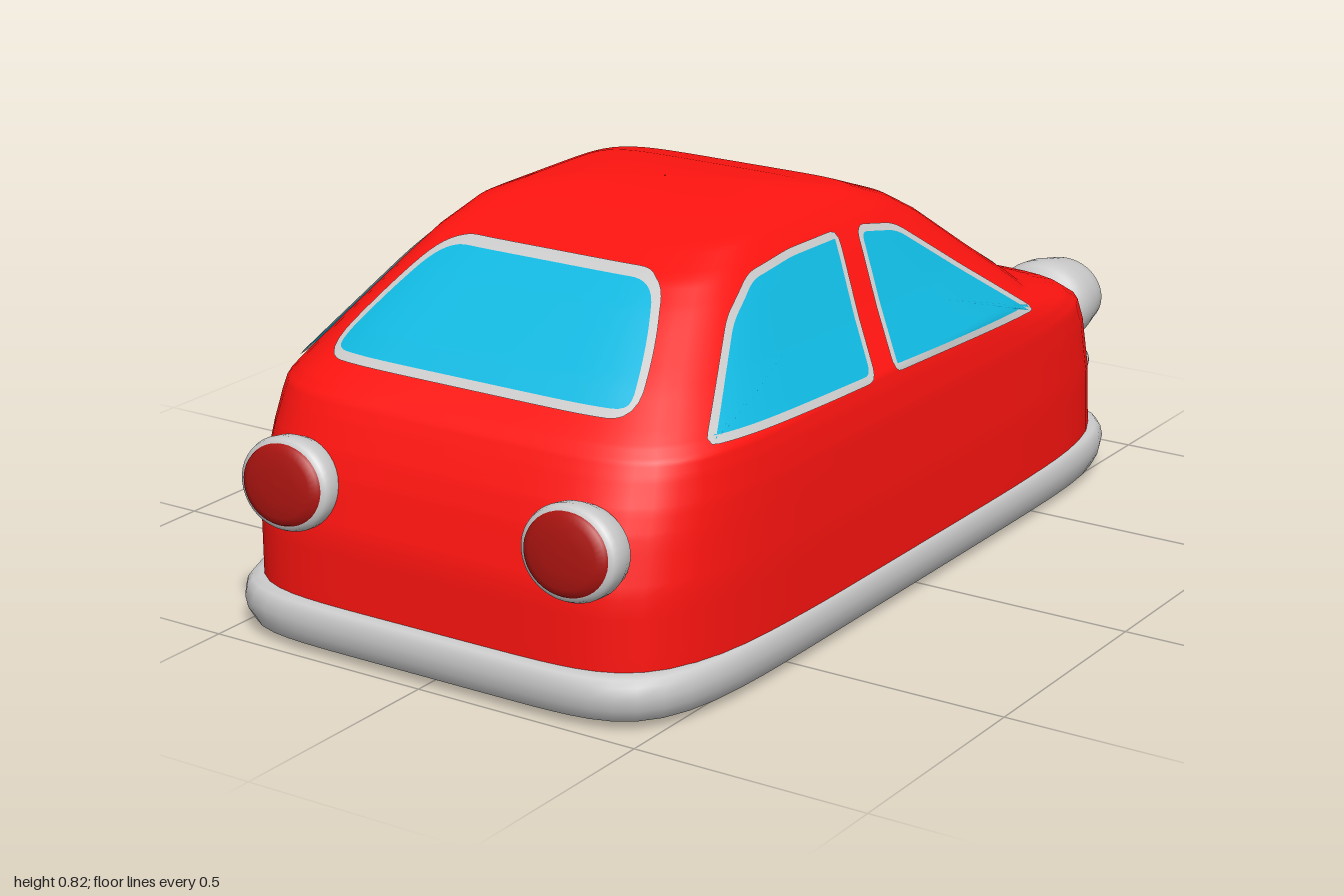
import * as THREE from 'three';

const mat = (color) => new THREE.MeshStandardMaterial({ color, side: THREE.DoubleSide });
const grey = mat(0xcccccc), red = mat(0xff1410), glass = mat(0x10b8e0);
const darkRed = mat(0xaa1410), orange = mat(0xff9900), dark = mat(0x777777);
const N = 6; // squareness of the plan outline

// Body levels: height, half width, nose z, tail z
const LEVELS = [
  [0.04, 0.545, -0.92, 0.965], [0.1, 0.547, -0.92, 0.968], [0.25, 0.548, -0.905, 0.967],
  [0.36, 0.543, -0.88, 0.94], [0.41, 0.54, -0.855, 0.922], [0.44, 0.536, -0.8, 0.908],
  [0.465, 0.532, -0.72, 0.896], [0.495, 0.525, -0.61, 0.88], [0.52, 0.507, -0.58, 0.857],
  [0.6, 0.45, -0.47, 0.76], [0.7, 0.384, -0.335, 0.62], [0.745, 0.353, -0.255, 0.55],
  [0.787, 0.32, -0.14, 0.44], [0.81, 0.263, -0.03, 0.34], [0.82, 0.174, 0.06, 0.25],
  [0.825, 0.001, 0.149, 0.151],
];

function levelAt(y) {
  let i = 0;
  while (i < LEVELS.length - 2 && y > LEVELS[i + 1][0]) i++;
  const t = (y - LEVELS[i][0]) / (LEVELS[i + 1][0] - LEVELS[i][0]);
  return LEVELS[i].map((v, k) => THREE.MathUtils.lerp(v, LEVELS[i + 1][k], t));
}

// Rounded-rectangle outline in plan at height y
function ring([y, w, zf, zb], n = N, count = 112) {
  const c = (zf + zb) / 2, L = (zb - zf) / 2;
  return Array.from({ length: count }, (_, j) => {
    const a = (j / count) * Math.PI * 2, cx = Math.cos(a), sz = Math.sin(a);
    const r = (Math.abs(cx) ** n + Math.abs(sz) ** n) ** (-1 / n);
    return new THREE.Vector3(w * r * cx, y, c + L * r * sz);
  });
}

// Skin over a stack of closed rings
function loft(rings) {
  const m = rings[0].length, index = [];
  for (let i = 0; i < rings.length - 1; i++) {
    for (let j = 0; j < m; j++) {
      const k = (j + 1) % m, a = i * m, b = a + m;
      index.push(a + j, b + j, a + k, a + k, b + j, b + k);
    }
  }
  const g = new THREE.BufferGeometry().setFromPoints(rings.flat());
  g.setIndex(index);
  g.computeVertexNormals();
  return g;
}

function add(parent, name, geometry, material) {
  const mesh = new THREE.Mesh(geometry, material);
  mesh.name = name;
  parent.add(mesh);
  return mesh;
}

// Points on the body surface, lifted slightly off it
const bulge = (u) => Math.max(0, 1 - Math.abs(u) ** N) ** (1 / N);
const onSide = (s) => (z, y) => {
  const [, w, zf, zb] = levelAt(y);
  return new THREE.Vector3(s * (w * bulge((2 * z - zf - zb) / (zb - zf)) + 0.005), y + 0.003, z);
};
const onEnd = (s) => (x, y) => {
  const [, w, zf, zb] = levelAt(y);
  return new THREE.Vector3(x, y + 0.005, (zf + zb) / 2 + s * ((zb - zf) / 2 * bulge(x / w) + 0.004));
};

// Closed polygon with rounded corners, evenly sampled
function roundedOutline(pts, r) {
  const P = pts.map(([x, y]) => new THREE.Vector2(x, y)), s = new THREE.Shape();
  P.forEach((p, i) => {
    const toward = (q) => {
      const d = q.clone().sub(p);
      return p.clone().addScaledVector(d, Math.min(r / d.length(), 0.48));
    };
    const a = toward(P[(i + P.length - 1) % P.length]), b = toward(P[(i + 1) % P.length]);
    if (i) s.lineTo(a.x, a.y); else s.moveTo(a.x, a.y);
    s.quadraticCurveTo(p.x, p.y, b.x, b.y);
  });
  s.closePath();
  return s.getSpacedPoints(120).slice(0, -1);
}

// Curved pane with a thin frame, laid over the body
function addWindow(parent, name, pts, r, project) {
  const outer = roundedOutline(pts, r), m = outer.length;
  const sign = Math.sign(THREE.ShapeUtils.area(outer));
  const inner = outer.map((p, i) => {
    const t = outer[(i + 1) % m].clone().sub(outer[(i + m - 1) % m]).normalize();
    return new THREE.Vector2(p.x - t.y * sign * 0.014, p.y + t.x * sign * 0.014);
  });
  const centre = inner.reduce((c, p) => c.addScaledVector(p, 1 / m), new THREE.Vector2());
  const lay = (from, to, steps) => loft(Array.from({ length: steps + 1 }, (_, i) =>
    from.map((p, j) => {
      const q = p.clone().lerp(to[j], i / steps);
      return project(q.x, q.y);
    })));
  const g = new THREE.Group();
  g.name = name;
  add(g, 'windowPane', lay(inner.map(() => centre), inner, 14), glass);
  add(g, 'windowFrame', lay(inner, outer, 2), grey);
  parent.add(g);
}

// Turned part whose axis points along z; profile is [radius, z]
function turned(profile) {
  return new THREE.LatheGeometry(profile.map(([r, z]) => new THREE.Vector2(r, z)), 40).rotateX(Math.PI / 2);
}

export function createModel() {
  const car = new THREE.Group();
  car.name = 'car';

  // Body shell
  const rings = [];
  LEVELS.slice(0, -1).forEach((a, i) => {
    for (let k = 0; k < 4; k++) rings.push(ring(a.map((v, j) => THREE.MathUtils.lerp(v, LEVELS[i + 1][j], k / 4))));
  });
  rings.push(ring(LEVELS.at(-1)));
  add(car, 'body', loft(rings), red);

  // Bumper band around the base, from inner lip to top edge: [inset, height]
  const band = (d, y) => ring([y, 0.558 - d, -0.945 + d, 0.998 - d], 7);
  const bumper = [[0.06, 0.03], [0.045, 0.015], [0.03, 0.012], [0.015, 0.02], [0.004, 0.045],
    [0, 0.07], [0.004, 0.092], [0.012, 0.104], [0.025, 0.108], [0.06, 0.108]];
  add(car, 'bumper', loft(bumper.map(([d, y]) => band(d, y))), grey);

  // Slightly domed floor
  const floor = [0.001, 0.4, 0.75, 0.9, 0.97, 1].map((t, i) =>
    ring([[0, 0, 0.002, 0.008, 0.018, 0.032][i], 0.5 * t, 0.0265 - 0.915 * t, 0.0265 + 0.915 * t], 7));
  add(car, 'floor', loft(floor), dark);

  // Windows
  addWindow(car, 'windscreen', [[-0.385, 0.503], [0.385, 0.503], [0.235, 0.725], [-0.235, 0.725]], 0.02, onEnd(-1));
  addWindow(car, 'rearWindow', [[-0.375, 0.55], [0.375, 0.55], [0.323, 0.66], [0.255, 0.755],
    [-0.255, 0.755], [-0.323, 0.66]], 0.06, onEnd(1));
  for (const s of [1, -1]) {
    const side = s > 0 ? 'left' : 'right';
    addWindow(car, side + 'FrontSideWindow', [[0.125, 0.488], [0, 0.74], [-0.13, 0.715], [-0.29, 0.597],
      [-0.475, 0.465]], 0.03, onSide(s));
    addWindow(car, side + 'RearSideWindow', [[0.745, 0.508], [0.515, 0.685], [0.4, 0.738], [0.25, 0.748],
      [0.065, 0.745], [0.195, 0.49]], 0.03, onSide(s));

    // Headlight pod
    const head = add(car, side + 'Headlight', turned([[0, -1], [0.055, -0.999], [0.08, -0.993], [0.093, -0.98],
      [0.1, -0.95], [0.11, -0.91], [0.113, -0.875], [0.107, -0.85], [0.085, -0.83], [0, -0.79]]), grey);
    head.scale.y = 0.86;
    head.position.set(s * 0.335, 0.345, 0);

    // Indicator below the headlight
    const indicator = new THREE.Group();
    indicator.name = side + 'Indicator';
    indicator.position.set(s * 0.38, 0.2, 0);
    add(indicator, 'indicatorHousing', turned([[0.024, -0.962], [0.031, -0.962], [0.036, -0.95],
      [0.036, -0.91], [0.03, -0.89], [0.028, -0.84]]), grey);
    add(indicator, 'indicatorLens', turned([[0, -0.966], [0.018, -0.964], [0.026, -0.96]]), orange);
    car.add(indicator);

    // Tail light
    const tail = new THREE.Group();
    tail.name = side + 'TailLight';
    tail.position.set(s * 0.337, 0.34, 0.965);
    tail.rotation.x = -0.12;
    tail.scale.y = 0.86;
    add(tail, 'tailLightHousing', turned([[0.1, -0.05], [0.109, -0.025], [0.11, 0], [0.105, 0.012],
      [0.095, 0.016]]), grey);
    add(tail, 'tailLightLens', turned([[0.097, 0.012], [0.092, 0.022], [0.075, 0.03], [0.04, 0.034], [0, 0.035]]), darkRed);
    car.add(tail);
  }
  return car;
}
